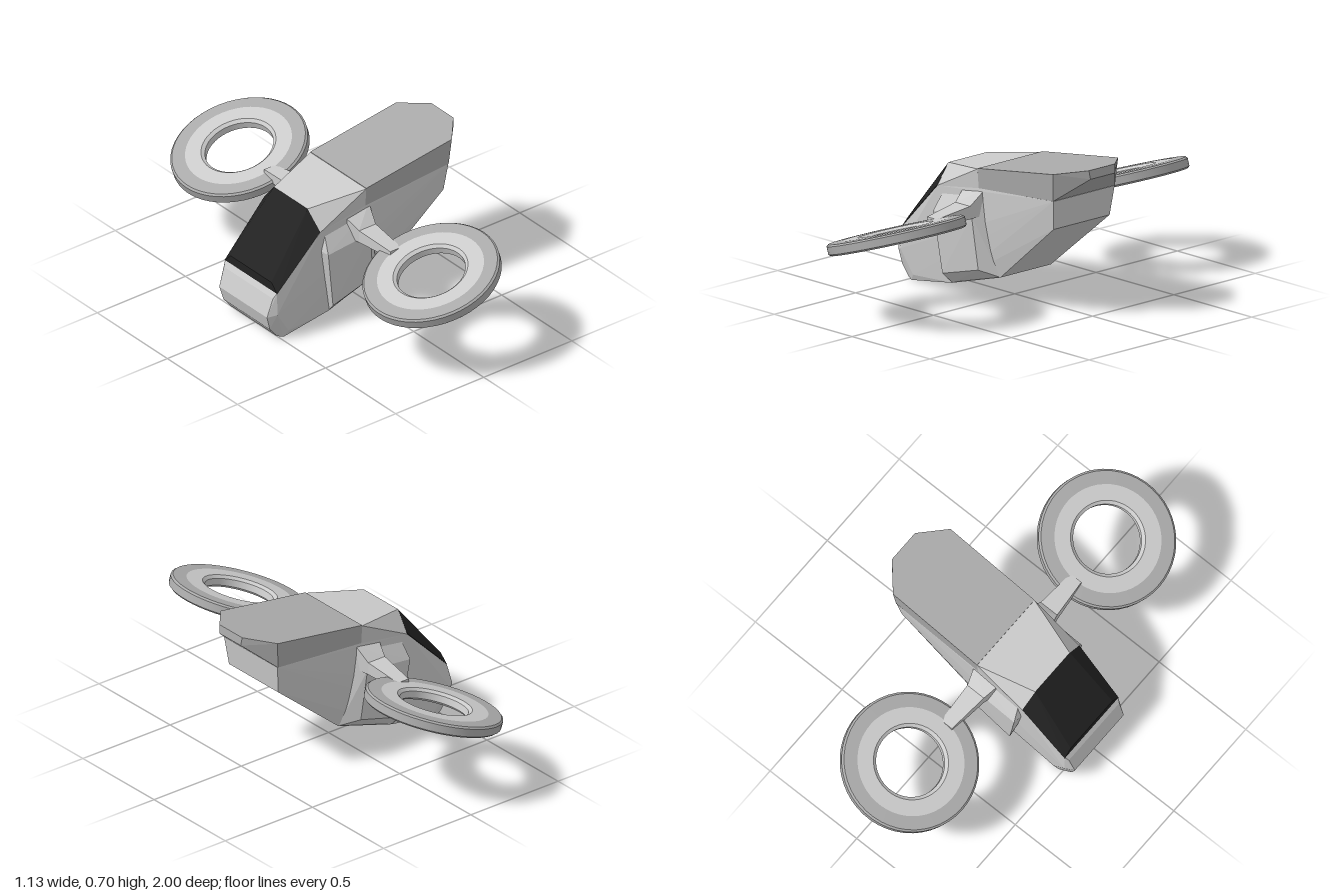
import * as THREE from 'three';
import { ConvexGeometry } from 'three/addons/geometries/ConvexGeometry.js';
import { toCreasedNormals } from 'three/addons/utils/BufferGeometryUtils.js';

const light = new THREE.MeshStandardMaterial({ color: 0xcccccc });
const mid = new THREE.MeshStandardMaterial({ color: 0xaaaaaa });
const black = new THREE.MeshStandardMaterial({ color: 0x222222 });

// faceted solid around a list of corners
function hull(name, corners, material) {
  const points = corners.map((c) => new THREE.Vector3(...c));
  const mesh = new THREE.Mesh(new ConvexGeometry(points), material);
  mesh.name = name;
  return mesh;
}

// mirror corners across the long axis
const both = (corners) => corners.flatMap(([x, y, z]) => [[x, y, z], [x, y, -z]]);
const flip = (corners, side) => corners.map(([x, y, z]) => [x, y, z * side]);

// rectangular section of a strut at distance z
const section = (z, x0, x1, y0, y1, yBack = y1) =>
  [[x0, y0, z], [x1, y0, z], [x0, y1, z], [x1, yBack, z]];

function lathe(name, profile, material) {
  const points = profile.map(([r, y]) => new THREE.Vector2(r, y));
  const geometry = toCreasedNormals(new THREE.LatheGeometry(points, 48), 0.3);
  const mesh = new THREE.Mesh(geometry, material);
  mesh.name = name;
  return mesh;
}

function rotorRing(side) {
  const ring = new THREE.Group();
  ring.name = side > 0 ? 'frontRing' : 'backRing';
  ring.add(
    lathe('outerBand', [
      [0.245, -0.028], [0.306, -0.026], [0.315, -0.018],
      [0.315, 0.018], [0.306, 0.026], [0.245, 0.028],
    ], mid),
    lathe('innerBand', [
      [0.245, 0.028], [0.172, 0.028], [0.157, 0.016],
      [0.157, -0.016], [0.172, -0.028], [0.245, -0.028],
    ], light)
  );
  ring.position.set(-0.043, 0.396, side * 0.685);
  ring.rotation.z = THREE.MathUtils.degToRad(18);
  return ring;
}

export function createModel() {
  const model = new THREE.Group();
  model.name = 'hoverCraft';

  // hull with blunt nose and rising rear
  model.add(hull('lowerBody', both([
    [-0.57, 0.13, 0.17], [-0.54, 0.22, 0.175], [-0.525, 0.245, 0.185],
    [-0.55, 0.06, 0.165], [-0.51, 0.01, 0.165], [-0.48, 0, 0.175],
    [-0.53, 0.14, 0.195], [-0.46, 0.03, 0.185],
    [-0.22, 0.04, 0.175], [0.07, 0.12, 0.155], [0.43, 0.42, 0.172],
    [0.445, 0.555, 0.188], [-0.29, 0.48, 0.197], [-0.03, 0.52, 0.192],
  ]), light));

  // windscreen wrapping onto the sides
  model.add(hull('windscreen', both([
    [-0.525, 0.285, 0.145], [-0.526, 0.245, 0.187],
    [-0.3, 0.57, 0.12], [-0.29, 0.483, 0.198],
  ]), black));

  // roof widening toward the rear
  model.add(hull('cabinRoof', both([
    [-0.3, 0.57, 0.12], [-0.29, 0.48, 0.198],
    [-0.03, 0.61, 0.2], [-0.03, 0.52, 0.193],
  ]), light));

  // overhanging rear deck with clipped corners
  model.add(hull('rearDeck', both([
    [-0.03, 0.613, 0.2], [-0.03, 0.52, 0.193],
    [0.455, 0.684, 0.2], [0.445, 0.556, 0.19],
    [0.56, 0.7, 0.08], [0.565, 0.66, 0.075],
  ]), mid));

  for (const side of [1, -1]) {
    // bulge on the flank
    model.add(hull('sidePod', flip([
      [-0.275, 0.375, 0.237], [-0.235, 0.09, 0.22],
      [-0.01, 0.15, 0.215], [-0.03, 0.4, 0.237],
      [-0.285, 0.38, 0.17], [-0.22, 0.04, 0.172],
      [0.07, 0.12, 0.153], [-0.26, 0.46, 0.19], [0, 0.5, 0.185],
    ], side), light));

    // strut bending out to the ring
    const strut = new THREE.Group();
    strut.name = 'strut';
    const elbow = section(0.255, -0.115, -0.02, 0.39, 0.45);
    strut.add(
      hull('strutRoot', flip([...section(0.18, -0.14, 0, 0.4, 0.5, 0.52), ...elbow], side), light),
      hull('strutArm', flip([...elbow, ...section(0.45, -0.093, -0.03, 0.39, 0.426)], side), light)
    );
    model.add(strut, rotorRing(side));
  }
  return model;
}
